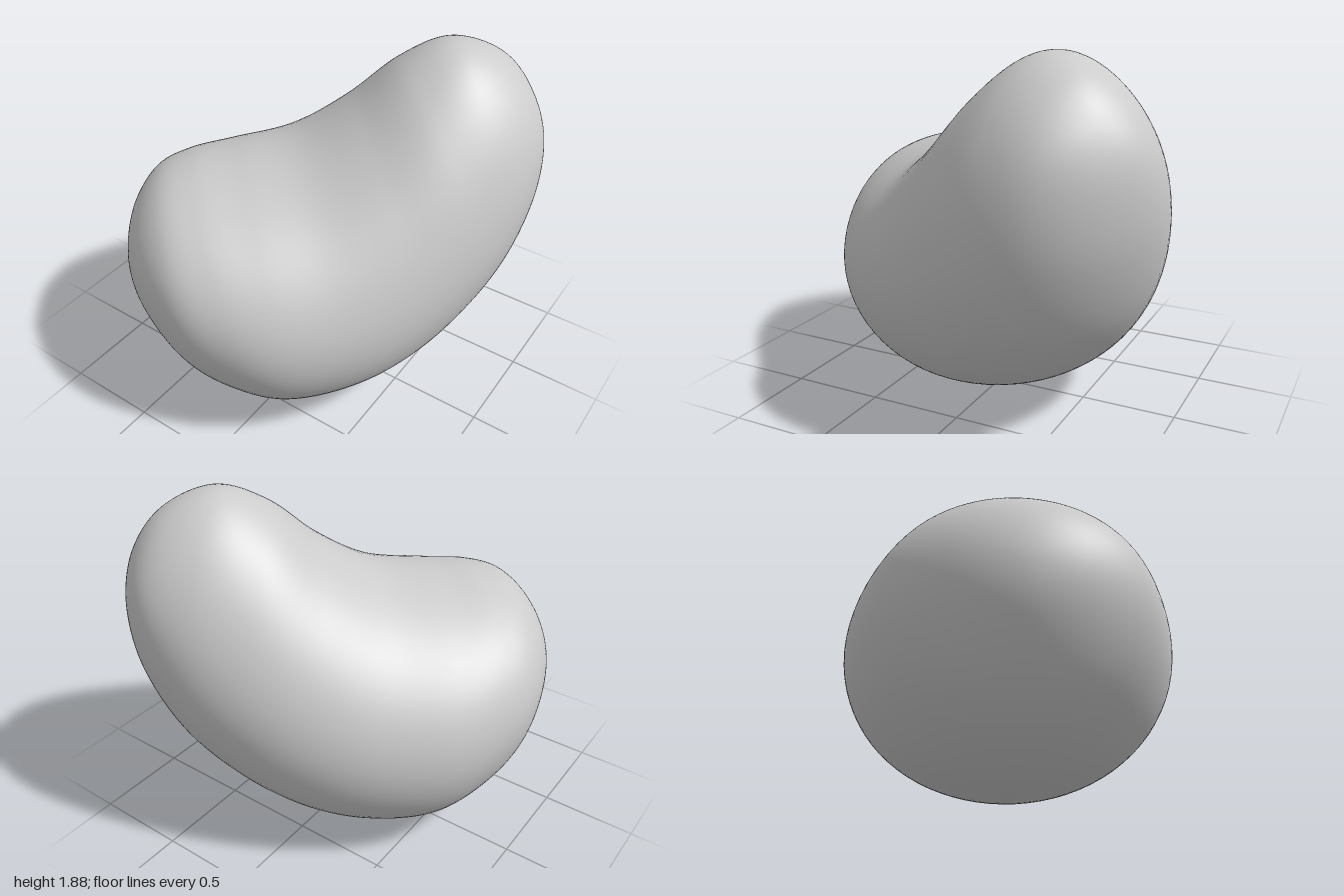
import * as THREE from 'three';
import { mergeVertices } from 'three/addons/utils/BufferGeometryUtils.js';

// Stations along the bean: [outer u, outer v, inner u, inner v, half width].
// u runs along the bean's mirror plane, v is up.
const STATIONS = [
  [-0.98, 0.57, -0.985, 1.06, 0.29],
  [-0.80, 0.28, -0.85, 1.235, 0.56],
  [-0.55, 0.09, -0.67, 1.30, 0.71],
  [-0.24, 0.00, -0.43, 1.325, 0.795],
  [0.18, 0.065, -0.12, 1.385, 0.785],
  [0.56, 0.26, 0.16, 1.555, 0.71],
  [0.90, 0.59, 0.41, 1.775, 0.585],
  [1.09, 0.97, 0.66, 1.88, 0.435],
  [1.14, 1.32, 0.92, 1.79, 0.25],
];
const BIG_END = new THREE.Vector3(-1.035, 0.82, 0);
const TALL_END = new THREE.Vector3(1.08, 1.59, 0);

function beanGeometry(rings = 96, sides = 80) {
  // One closed outline; its third coordinate carries the signed half width
  const outline = new THREE.CatmullRomCurve3([
    BIG_END,
    ...STATIONS.map(([u, v, , , b]) => new THREE.Vector3(u, v, b)),
    TALL_END,
    ...STATIONS.map(([, , u, v, b]) => new THREE.Vector3(u, v, -b)).reverse(),
  ], true, 'catmullrom', 0.5);

  const positions = [], index = [];
  for (let i = 0; i <= rings; i++) {
    const f = i / rings;
    const outer = outline.getPoint(f / 2);
    const inner = outline.getPoint((1 - f / 2) % 1);
    const b = (outer.z - inner.z) / 2;
    const lean = 0.03 - 0.09 * f;
    // Egg-shaped sections: wider above at the big end, below at the tall end
    const egg = 0.36 * f - 0.13;
    for (let j = 0; j < sides; j++) {
      const a = (j / sides) * Math.PI * 2;
      const c = Math.cos(a);
      const u = (outer.x + inner.x) / 2 + ((outer.x - inner.x) / 2) * c;
      const v = (outer.y + inner.y) / 2 + ((outer.y - inner.y) / 2) * c;
      const w = lean + b * Math.sin(a) * (1 + egg * c);
      positions.push((u + w) * Math.SQRT1_2, v, (w - u) * Math.SQRT1_2);
      if (i < rings) {
        const k = i * sides, n = (j + 1) % sides;
        index.push(k + j, k + sides + j, k + n);
        index.push(k + n, k + sides + j, k + sides + n);
      }
    }
  }
  const geometry = new THREE.BufferGeometry();
  geometry.setAttribute('position', new THREE.Float32BufferAttribute(positions, 3));
  geometry.setIndex(index);
  const welded = mergeVertices(geometry, 1e-5);
  welded.computeVertexNormals();
  return welded;
}

export function createModel() {
  const group = new THREE.Group();
  group.name = 'bean';
  const body = new THREE.Mesh(
    beanGeometry(),
    new THREE.MeshStandardMaterial({ color: 0xcccccc }),
  );
  body.name = 'beanBody';
  group.add(body);
  return group;
}
